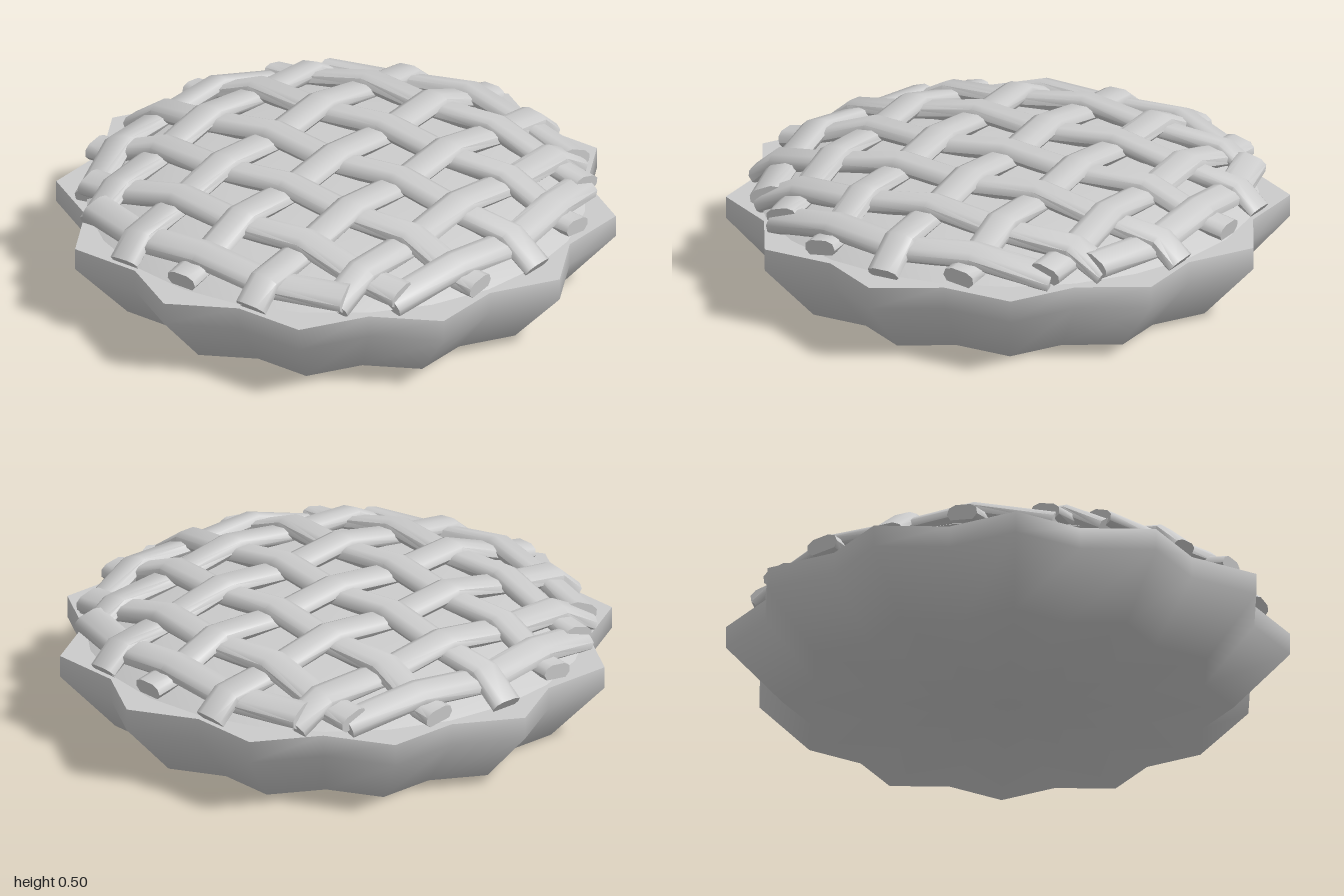
import * as THREE from 'three';
import { toCreasedNormals } from 'three/addons/utils/BufferGeometryUtils.js';

const material = new THREE.MeshStandardMaterial({ color: 0xcccccc });

// Height of the domed filling at a distance r from the centre
const domeY = r => 0.29 + 0.135 * (1 - Math.pow(Math.min(r / 0.91, 1.05), 4));

// Skin a list of equal-sized closed loops, with a cap at each end
function skin(loops, crease) {
  const n = loops[0].length, pos = [], idx = [];
  for (const loop of loops) for (const p of loop) pos.push(p.x, p.y, p.z);
  for (let i = 0; i < loops.length - 1; i++) {
    for (let k = 0; k < n; k++) {
      const a = i * n + k, b = i * n + (k + 1) % n;
      idx.push(a, b, b + n, a, b + n, a + n);
    }
  }
  [0, loops.length - 1].forEach((row, end) => {
    const c = new THREE.Vector3();
    loops[row].forEach(p => c.addScaledVector(p, 1 / n));
    const ci = pos.length / 3;
    pos.push(c.x, c.y, c.z);
    for (let k = 0; k < n; k++) {
      const a = row * n + k, b = row * n + (k + 1) % n;
      if (end) idx.push(ci, a, b); else idx.push(ci, b, a);
    }
  });
  const g = new THREE.BufferGeometry();
  g.setAttribute('position', new THREE.Float32BufferAttribute(pos, 3));
  g.setIndex(idx);
  return toCreasedNormals(g, crease);
}

function add(group, name, geometry) {
  const mesh = new THREE.Mesh(geometry, material);
  mesh.name = name;
  group.add(mesh);
}

// Twelve-pointed outline; tips and notches alternate
function starLoop(scale, y) {
  return Array.from({ length: 24 }, (_, k) => {
    const r = scale * (k % 2 ? 0.897 : 1), a = k * Math.PI / 12;
    return new THREE.Vector3(r * Math.sin(a), y, r * Math.cos(a));
  });
}

// Rounded strip section: [across, up]
const section = [[-0.045, -0.028], [-0.061, -0.008], [-0.055, 0.016], [-0.03, 0.028],
  [0.03, 0.028], [0.055, 0.016], [0.061, -0.008], [0.045, -0.028]];

const lines = [-0.78, -0.57, -0.285, 0, 0.28, 0.55, 0.78];
const halfLengths = [0.56, 0.7, 0.86, 0.9, 0.86, 0.7, 0.56];

// One lattice strip, weaving over and under its crossings
function strip(i, alongX) {
  const c = lines[i], half = halfLengths[i];
  const bow = Math.abs(c) > 0.7 ? 0.14 : Math.abs(c) > 0.5 ? 0.04 : 0;
  const stations = [];
  lines.forEach((t, j) => {
    if (Math.abs(t) < half - 0.04) {
      const over = ((i + j) % 2 === 1) === alongX;
      stations.push([t, over ? 0.045 : 0.012]);
    }
  });
  const first = stations[0][1], last = stations[stations.length - 1][1];
  stations.unshift([-half, 0.057 - first]);
  stations.push([half, 0.057 - last]);

  const points = stations.map(([t, lift]) => {
    const side = c * (1 - bow * (t / half) ** 2);
    const x = alongX ? t : side, z = alongX ? side : t;
    return new THREE.Vector3(x, domeY(Math.hypot(x, z)) + lift, z);
  });
  const loops = points.map((p, k) => {
    const before = points[Math.max(k - 1, 0)], after = points[Math.min(k + 1, points.length - 1)];
    const tangent = after.clone().sub(before).normalize();
    // Lean the strip with the slope of the dome
    const r = Math.hypot(p.x, p.z), slope = (domeY(r) - domeY(r + 0.01)) / 0.01;
    const lean = 0.8 * Math.min(slope, 0.7) / Math.max(r, 0.01);
    const up = new THREE.Vector3(p.x * lean, 1, p.z * lean);
    const across = new THREE.Vector3().crossVectors(up, tangent).normalize();
    up.crossVectors(tangent, across).normalize();
    return section.map(([a, u]) => p.clone().addScaledVector(across, -a).addScaledVector(up, u));
  });
  return skin(loops, 0.9);
}

export function createModel() {
  const model = new THREE.Group();
  model.name = 'latticePie';

  // Flared dish with a star-shaped rim
  add(model, 'dish', skin([starLoop(0.8, 0), starLoop(1, 0.21), starLoop(1, 0.29)], 1.2));

  // Domed filling
  const profile = [0.89, 0.84, 0.77, 0.66, 0.5, 0.28, 0].map(r => new THREE.Vector2(r, domeY(r)));
  add(model, 'filling', new THREE.LatheGeometry(profile, 24));

  // Woven pastry lattice
  const lattice = new THREE.Group();
  lattice.name = 'lattice';
  lines.forEach((_, i) => {
    add(lattice, 'crossStrip', strip(i, true));
    add(lattice, 'lengthStrip', strip(i, false));
  });
  model.add(lattice);
  return model;
}
